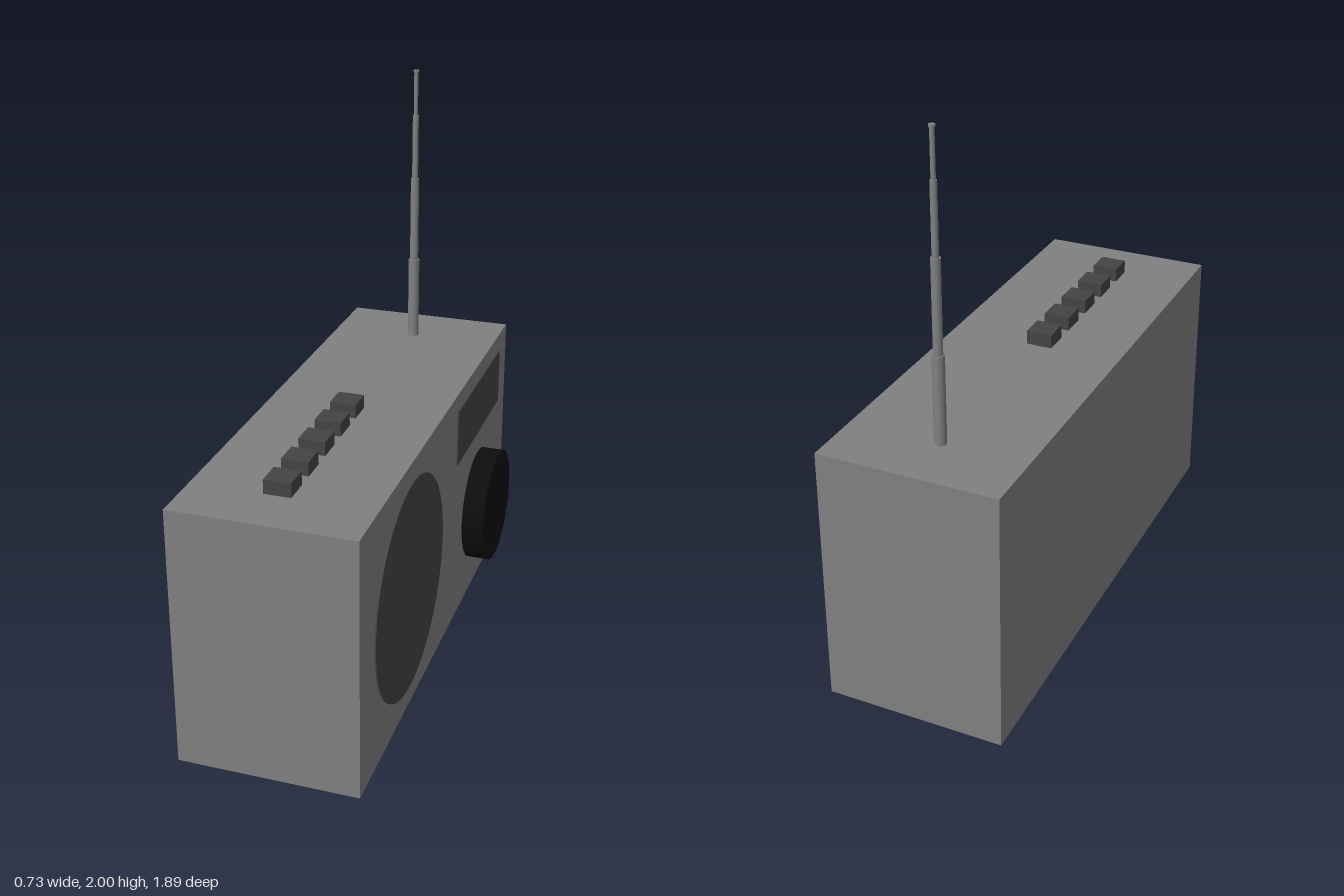
import * as THREE from 'three';

const material = (color) => new THREE.MeshStandardMaterial({ color });

export function createModel() {
  const group = new THREE.Group();
  const casing = material(0x808080);
  const dark = material(0x444444);
  const black = material(0x0d0d0d);
  const faceX = 0.275;

  const add = (name, geometry, mat, x, y, z) => {
    const mesh = new THREE.Mesh(geometry, mat);
    mesh.name = name;
    mesh.position.set(x, y, z);
    group.add(mesh);
    return mesh;
  };

  // Disc standing out from the +x face
  const disc = (name, radius, depth, mat, y, z) => {
    const geometry = new THREE.CylinderGeometry(radius, radius, depth, 64).rotateZ(-Math.PI / 2);
    return add(name, geometry, mat, faceX + depth / 2, y, z);
  };

  // Casing
  add('body', new THREE.BoxGeometry(0.64, 0.945, 1.89), casing, -0.045, 0.4725, 0);

  // Controls on the +x face
  disc('speaker', 0.397, 0.005, dark, 0.475, 0.4);
  disc('tuningKnob', 0.219, 0.085, black, 0.347, -0.515);
  add('display', new THREE.BoxGeometry(0.005, 0.218, 0.636), dark, faceX + 0.0025, 0.769, -0.506);

  // Row of push buttons on top
  for (let i = 0; i < 5; i++) {
    add('button' + (i + 1), new THREE.BoxGeometry(0.095, 0.05, 0.095), dark, -0.0625, 0.97, 0.07 + i * 0.158);
  }

  // Telescopic antenna: [bottom, top, radius]
  const sections = [
    [0.945, 1.26, 0.021],
    [1.26, 1.585, 0.016],
    [1.585, 1.83, 0.0115],
    [1.83, 1.992, 0.008],
    [1.992, 2, 0.011],
  ];
  sections.forEach(([bottom, top, radius], i) => {
    const geometry = new THREE.CylinderGeometry(radius, radius, top - bottom, 24);
    const name = i === 4 ? 'antennaTip' : 'antennaSection' + (i + 1);
    add(name, geometry, casing, -0.055, (bottom + top) / 2, -0.725);
  });

  return group;
}
